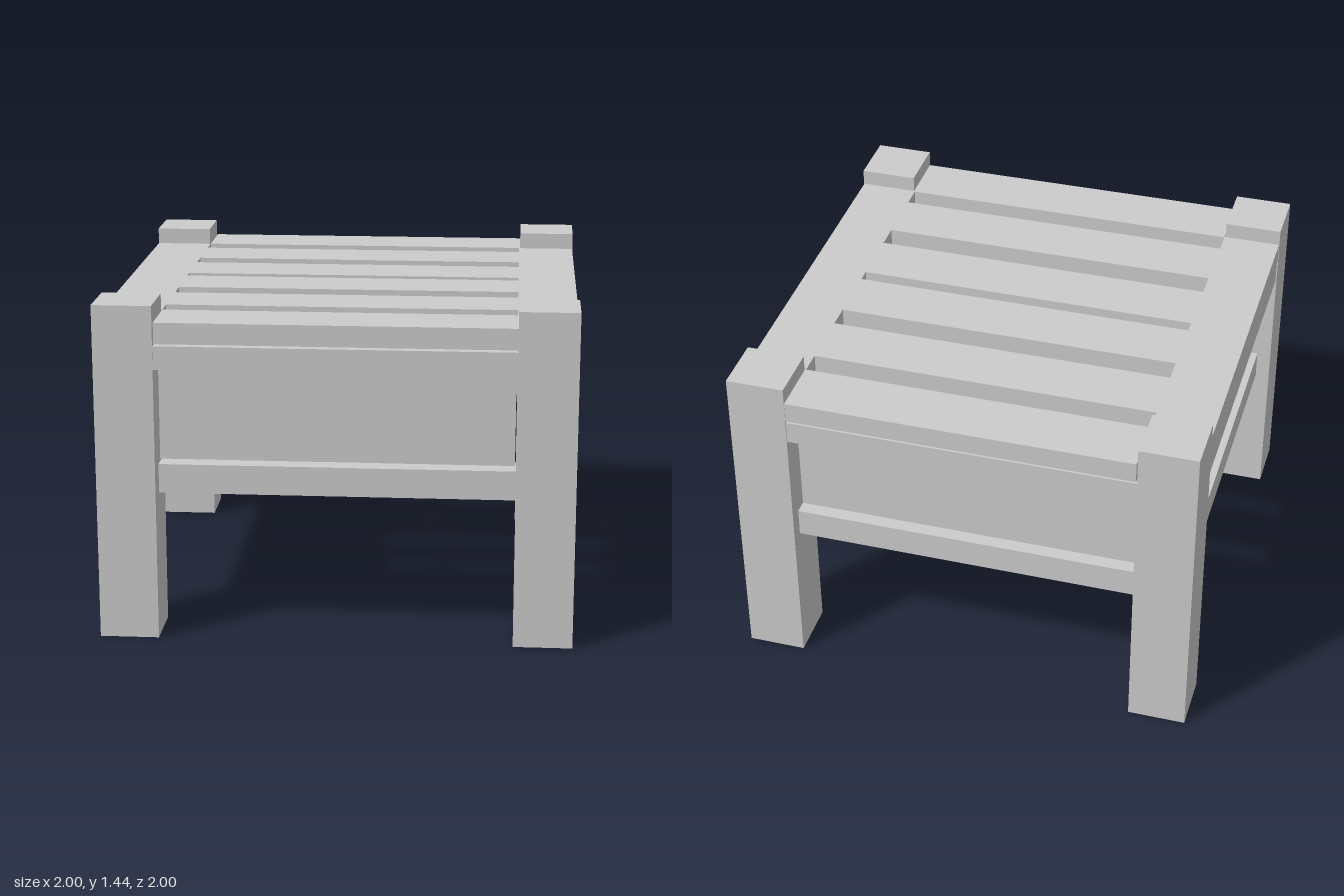
import * as THREE from 'three';

const material = new THREE.MeshStandardMaterial({ color: 0xcccccc, flatShading: true });

export function createModel() {
  const model = new THREE.Group();
  model.name = 'slattedTable';

  // Box given by its extents along each axis
  const board = (name, [x0, x1], [y0, y1], [z0, z1]) => {
    const mesh = new THREE.Mesh(new THREE.BoxGeometry(x1 - x0, y1 - y0, z1 - z0), material);
    mesh.position.set((x0 + x1) / 2, (y0 + y1) / 2, (z0 + z1) / 2);
    mesh.name = name;
    model.add(mesh);
  };
  const span = (a, b, sign) => (sign > 0 ? [a, b] : [-b, -a]);

  // Square corner legs
  for (const sx of [-1, 1])
    for (const sz of [-1, 1])
      board('leg', span(0.75, 1, sx), [0, 1.44], span(0.75, 1, sz));

  // Each side: top board, upper rail, recessed panel and lower rail
  const layers = [
    { name: 'TopBoard', y: [1.28, 1.37], depth: [0.745, 0.998], x: [-0.745, 0.75], z: [-0.74, 0.75] },
    { name: 'UpperRail', y: [1.17, 1.27], depth: [0.755, 0.995], x: [-0.75, 0.75], z: [-0.75, 0.75] },
    { name: 'Panel', y: [0.76, 1.17], depth: [0.86, 0.89], x: [-0.745, 0.745], z: [-0.735, 0.75] },
    { name: 'LowerRail', y: [0.625, 0.75], depth: [0.813, 0.938], x: [-0.745, 0.75], z: [-0.74, 0.75] },
  ];
  for (const { name, y, depth, x, z } of layers) {
    for (const s of [-1, 1]) {
      board((s > 0 ? 'front' : 'back') + name, x, y, span(...depth, s));
      board((s > 0 ? 'left' : 'right') + name, span(...depth, s), y, z);
    }
  }

  // Slats between the side boards
  for (const z of [-0.515, -0.155, 0.155, 0.52])
    board('slat', [-0.745, 0.745], [1.28, 1.37], [z - 0.126, z + 0.126]);

  return model;
}
